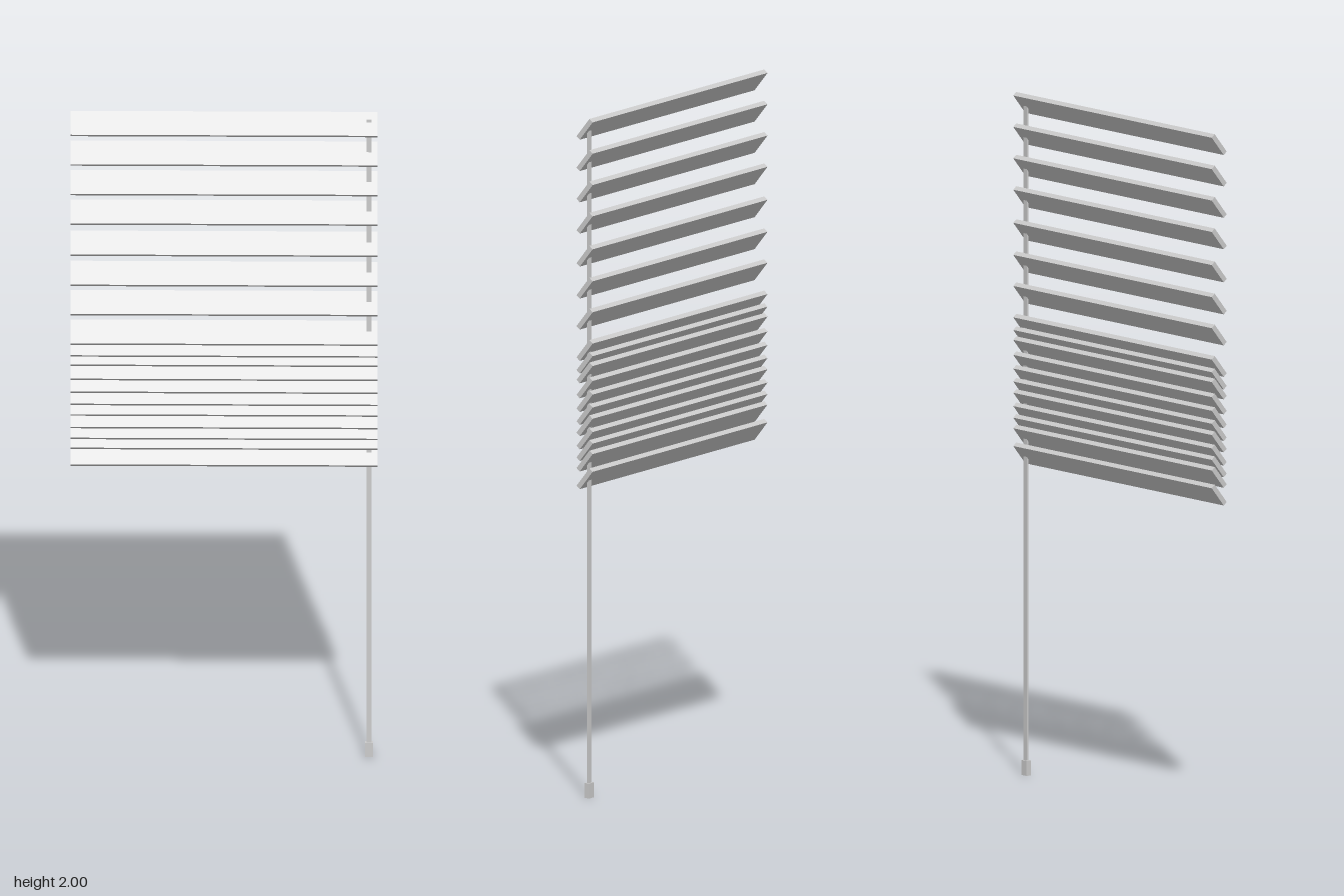
import * as THREE from 'three';

export function createModel() {
  const model = new THREE.Group();
  model.name = 'windowBlind';
  const material = new THREE.MeshStandardMaterial({ color: 0xcccccc, flatShading: true });

  function addBox(name, size, position, tilt = 0) {
    const mesh = new THREE.Mesh(new THREE.BoxGeometry(...size), material);
    mesh.name = name;
    mesh.position.set(...position);
    mesh.rotation.x = tilt;
    model.add(mesh);
  }

  // Tilted slats: evenly hung at the top, bunched up below
  const slatHeight = 0.072, slatThickness = 0.0145;
  const tilt = -THREE.MathUtils.degToRad(39);
  const slatCentres = [
    1.968, 1.876, 1.784, 1.692, 1.595, 1.501, 1.410,
    1.318, 1.281, 1.252, 1.208, 1.168, 1.130, 1.097, 1.058, 1.024, 0.993, 0.941,
  ];
  slatCentres.forEach((y, i) => {
    addBox(`slat${i + 1}`, [0.884, slatHeight, slatThickness], [0, y, 0], tilt);
  });

  // Flat pull cord running through every slat
  const cordX = 0.418, cordTop = 1.983, cordBottom = 0.03;
  addBox('pullCord', [0.014, cordTop - cordBottom, 0.007], [cordX, (cordTop + cordBottom) / 2, 0]);

  // Weight at the end of the cord
  addBox('cordWeight', [0.024, 0.044, 0.016], [cordX, 0.022, 0]);

  return model;
}
